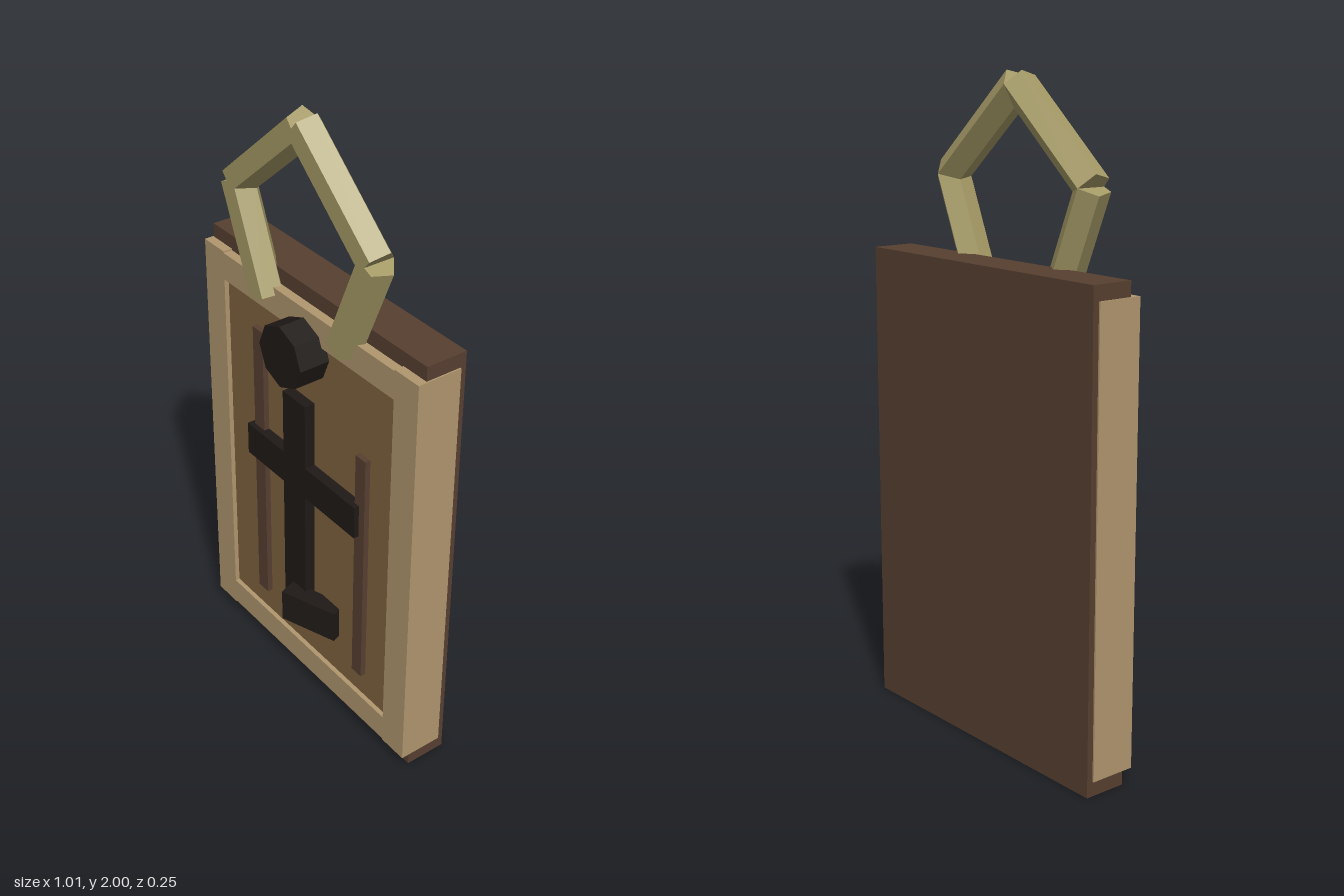
import * as THREE from 'three';

const mat = (color) => new THREE.MeshStandardMaterial({ color, flatShading: true });
const darkWood = mat(0x573f30);
const paleWood = mat(0xb0966e);
const panelWood = mat(0x80623f);
const iron = mat(0x1f1a16);
const brass = mat(0xa59a66);

// Box given by its min and max extents on each axis
function box(name, material, [x0, x1], [y0, y1], [z0, z1]) {
  const mesh = new THREE.Mesh(new THREE.BoxGeometry(x1 - x0, y1 - y0, z1 - z0), material);
  mesh.position.set((x0 + x1) / 2, (y0 + y1) / 2, (z0 + z1) / 2);
  mesh.name = name;
  return mesh;
}

// Five-sided bar between two points in the xy plane, its ridge facing back
function bar(name, [ax, ay], [bx, by]) {
  const dx = bx - ax, dy = by - ay;
  const geo = new THREE.CylinderGeometry(0.054, 0.054, Math.hypot(dx, dy), 5, 1, false, Math.PI);
  const mesh = new THREE.Mesh(geo, brass);
  mesh.position.set((ax + bx) / 2, (ay + by) / 2, 0.034);
  mesh.rotation.z = Math.atan2(-dx, dy);
  mesh.name = name;
  return mesh;
}

export function createModel() {
  const model = new THREE.Group();
  model.name = 'hangingPlaque';

  // Back board and inset panel
  model.add(box('backBoard', darkWood, [-0.5, 0.5], [0, 1.46], [-0.125, 0.01]));
  model.add(box('panel', panelWood, [-0.42, 0.42], [0.12, 1.34], [0, 0.025]));

  // Frame: two stiles and two slightly shorter rails
  const frame = new THREE.Group();
  frame.name = 'frame';
  frame.add(
    box('leftStile', paleWood, [0.405, 0.505], [0.045, 1.415], [-0.105, 0.04]),
    box('rightStile', paleWood, [-0.505, -0.405], [0.045, 1.415], [-0.105, 0.04]),
    box('topRail', paleWood, [-0.455, 0.455], [1.32, 1.41], [-0.105, 0.04]),
    box('bottomRail', paleWood, [-0.455, 0.455], [0.05, 0.14], [-0.105, 0.04])
  );
  model.add(frame);

  // Raised wooden strips
  model.add(box('rightStrip', darkWood, [-0.255, -0.205], [0.23, 1.23], [0.01, 0.043]));
  model.add(box('leftStrip', darkWood, [0.25, 0.295], [0.23, 1.05], [0.01, 0.043]));

  // Iron emblem: upright, crossbar and a turned foot
  const emblem = new THREE.Group();
  emblem.name = 'emblem';
  emblem.add(box('upright', iron, [-0.08, 0.03], [0.32, 1.1], [0.02, 0.06]));
  emblem.add(box('crossbar', iron, [-0.27, 0.27], [0.77, 0.88], [0.02, 0.06]));
  const foot = box('foot', iron, [-0.03, 0.165], [0.29, 0.4], [0.028, 0.088]);
  foot.rotation.y = 0.35;
  emblem.add(foot);
  model.add(emblem);

  // Eight-sided knob
  const knob = new THREE.Mesh(new THREE.CylinderGeometry(0.1, 0.1, 0.105, 8), iron);
  knob.rotation.x = Math.PI / 2;
  knob.position.set(0, 1.28, 0.0725);
  knob.name = 'knob';
  model.add(knob);

  // Hanging handle, mirrored
  const handle = new THREE.Group();
  handle.name = 'handle';
  for (const s of [-1, 1]) {
    const side = s > 0 ? 'left' : 'right';
    handle.add(bar(side + 'LowerBar', [s * 0.18, 1.37], [s * 0.315, 1.69]));
    handle.add(bar(side + 'UpperBar', [s * 0.315, 1.69], [0, 1.96]));
  }
  model.add(handle);

  return model;
}
